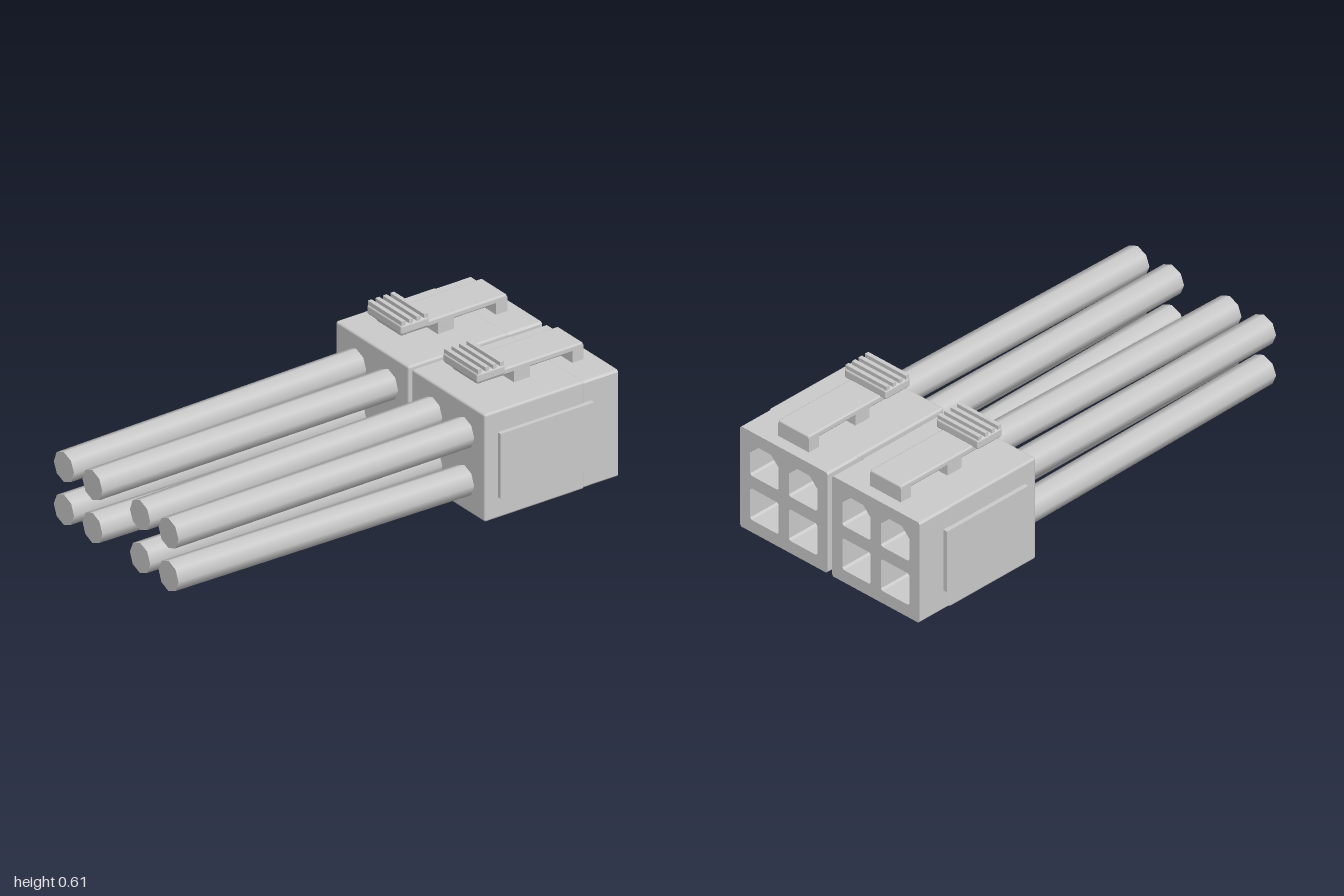
import * as THREE from 'three';
import { RoundedBoxGeometry } from 'three/addons/geometries/RoundedBoxGeometry.js';

const material = new THREE.MeshStandardMaterial({ color: 0xcccccc });

function add(parent, name, geometry, x = 0, y = 0, z = 0) {
  const mesh = new THREE.Mesh(geometry, material);
  mesh.name = name;
  mesh.position.set(x, y, z);
  parent.add(mesh);
  return mesh;
}

// Box given by its min and max on each axis; r > 0 rounds the edges
function box(parent, name, [x0, x1], [y0, y1], [z0, z1], r = 0) {
  const size = [x1 - x0, y1 - y0, z1 - z0];
  const geometry = r ? new RoundedBoxGeometry(...size, 2, r) : new THREE.BoxGeometry(...size);
  return add(parent, name, geometry, (x0 + x1) / 2, (y0 + y1) / 2, (z0 + z1) / 2);
}

// Rectangle with bottom corners cut by b and top corners cut by t
function cutRect(target, cx, cy, w, h, b, t) {
  const x = w / 2, y = h / 2;
  const corners = [[-x + b, -y], [x - b, -y], [x, -y + b], [x, y - t], [x - t, y], [-x + t, y], [-x, y - t], [-x, -y + b]];
  target.setFromPoints(corners.map(([px, py]) => new THREE.Vector2(cx + px, cy + py)));
  return target;
}

const MID_Y = 0.262;

function createPlug() {
  const plug = new THREE.Group();

  // Solid front housing
  box(plug, 'housing', [-0.234, 0.234], [0.033, 0.491], [-0.842, -0.375], 0.01);

  // Rear socket block with four openings, the upper ones chamfered on top
  const face = cutRect(new THREE.Shape(), 0, MID_Y, 0.464, 0.454, 0.008, 0.008);
  for (const sx of [-1, 1]) for (const sy of [-1, 1]) {
    face.holes.push(cutRect(new THREE.Path(), sx * 0.102, MID_Y + sy * 0.1, 0.15, 0.143, 0.008, sy > 0 ? 0.04 : 0.008));
  }
  add(plug, 'socketBlock', new THREE.ExtrudeGeometry(face, { depth: 0.165, bevelEnabled: false }), 0, 0, -1);

  // Latch: arm on two feet, thumb pad with grip ridges
  const latch = new THREE.Group();
  latch.name = 'latch';
  plug.add(latch);
  box(latch, 'latchArm', [-0.082, 0.082], [0.533, 0.561], [-0.948, -0.45], 0.008);
  box(latch, 'latchRearFoot', [-0.082, 0.082], [0.485, 0.55], [-0.948, -0.895]);
  box(latch, 'latchPivot', [-0.082, 0.082], [0.485, 0.54], [-0.697, -0.622]);
  box(latch, 'thumbPad', [-0.111, 0.111], [0.555, 0.596], [-0.562, -0.43], 0.009);
  for (let i = 0; i < 4; i++) {
    const z = -0.443 - i * 0.035;
    box(latch, 'gripRidge', [-0.108, 0.108], [0.59, 0.612], [z - 0.009, z + 0.009]);
  }

  // Eight-sided wires, converging slightly towards their free ends
  for (const sx of [-1, 1]) for (const sy of [-1, 1]) {
    const start = new THREE.Vector3(sx * 0.102, MID_Y + sy * 0.102, -0.39);
    const end = new THREE.Vector3(sx * 0.091, MID_Y + sy * 0.091, 1);
    const geometry = new THREE.CylinderGeometry(0.064, 0.064, start.distanceTo(end), 8);
    geometry.rotateX(Math.PI / 2);
    const wire = add(plug, 'wire', geometry);
    wire.position.copy(start).add(end).multiplyScalar(0.5);
    wire.lookAt(end);
  }
  return plug;
}

export function createModel() {
  const model = new THREE.Group();
  model.name = 'connectorPair';

  for (const [name, x] of [['rightPlug', -0.243], ['leftPlug', 0.243]]) {
    const plug = createPlug();
    plug.name = name;
    plug.position.x = x;
    model.add(plug);
  }

  // Raised panels on both sides and in the gap between the plugs
  for (const x of [-0.482, 0, 0.482]) {
    box(model, x ? 'sidePanel' : 'joiningPanel', [x - 0.014, x + 0.014], [0.125, 0.4], [-0.873, -0.435]);
  }

  // Key rail under the joint
  box(model, 'keyRail', [-0.038, 0.038], [0, 0.036], [-0.873, -0.435]);
  return model;
}
